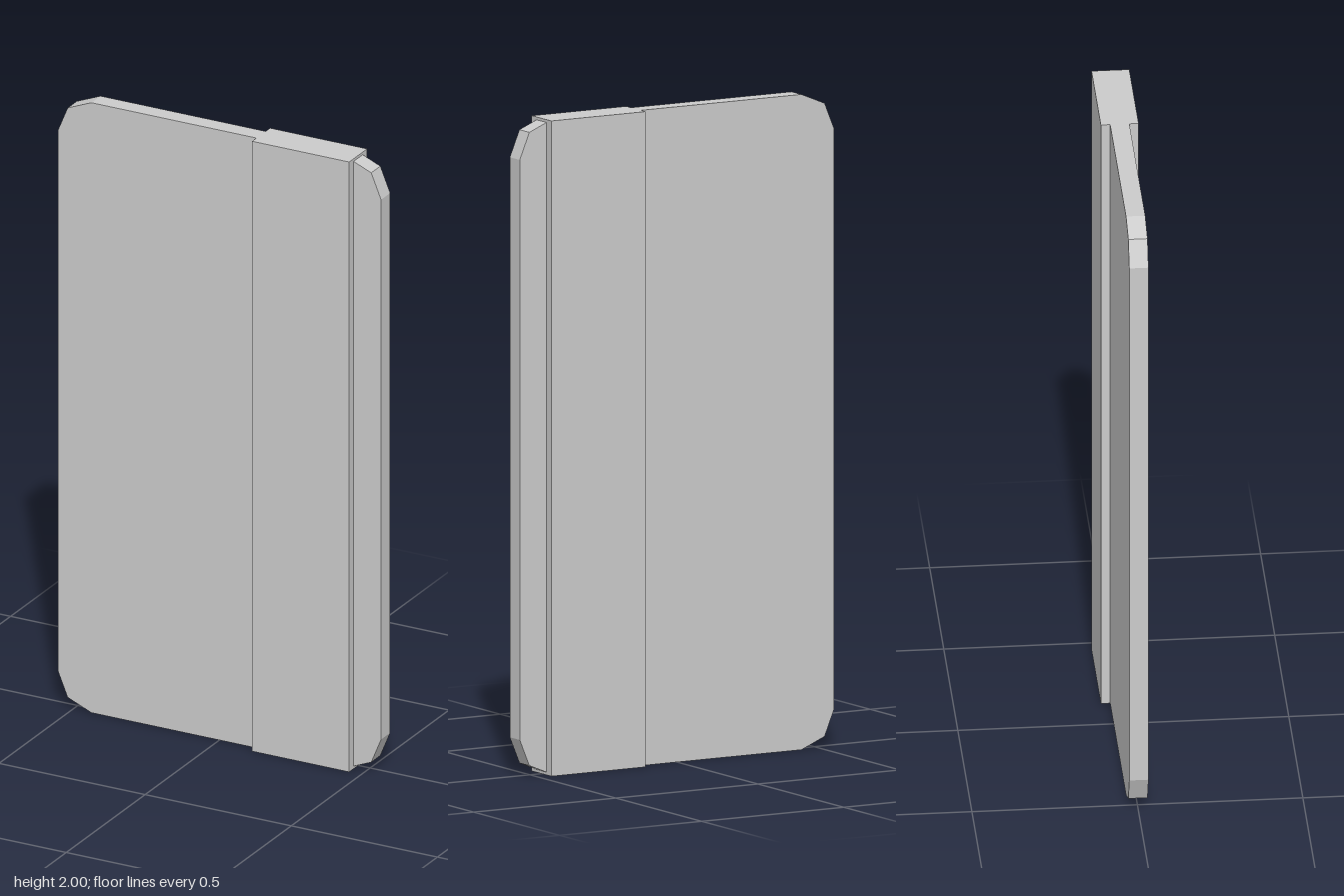
import * as THREE from 'three';

export function createModel() {
  const group = new THREE.Group();
  const material = new THREE.MeshStandardMaterial({ color: 0xcccccc, flatShading: true });
  const halfWidth = 0.553, height = 2, radius = 0.115, thickness = 0.058;

  // Panel outline: each corner is a quarter circle cut into two facets
  const corners = [[1, 1], [-1, 1], [-1, -1], [1, -1]];
  const outline = [];
  corners.forEach(([sx, sy], i) => {
    const cx = sx * (halfWidth - radius);
    const cy = height / 2 + sy * (height / 2 - radius);
    for (let k = 0; k <= 2; k++) {
      const a = (i + k / 2) * Math.PI / 2;
      outline.push(new THREE.Vector2(cx + radius * Math.cos(a), cy + radius * Math.sin(a)));
    }
  });
  const panelGeometry = new THREE.ExtrudeGeometry(new THREE.Shape(outline), {
    depth: thickness, bevelEnabled: false,
  });
  panelGeometry.translate(0, 0, -thickness / 2);
  const panel = new THREE.Mesh(panelGeometry, material);
  panel.name = 'panel';
  group.add(panel);

  // Thicker full-height band, offset to one side and proud of both faces
  const band = new THREE.Mesh(new THREE.BoxGeometry(0.332, height, 0.114), material);
  band.position.set(0.293, height / 2, 0);
  band.name = 'band';
  group.add(band);

  return group;
}
